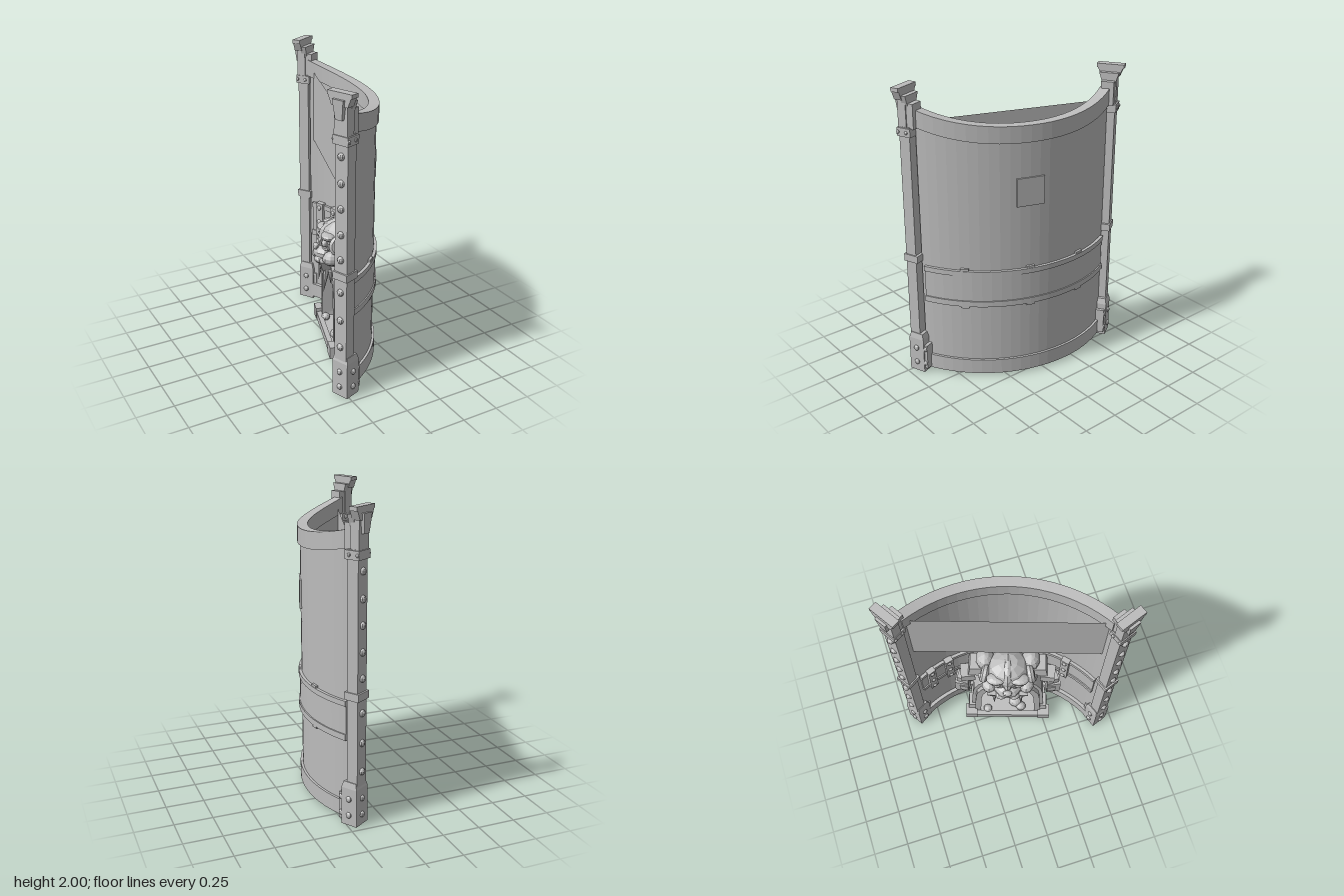
import * as THREE from 'three';

const stone = new THREE.MeshStandardMaterial({ color: 0xbcbcbc, side: THREE.DoubleSide, flatShading: true });
stone.name = 'grey stone';
const RAD = Math.PI / 180;

function add(parent, name, geo, x = 0, y = 0, z = 0, rx = 0, ry = 0, rz = 0) {
  const m = new THREE.Mesh(geo, stone);
  m.name = name;
  m.position.set(x, y, z);
  m.rotation.set(rx, ry, rz);
  parent.add(m);
  return m;
}
// box from its bottom height y0 to top height y1
const box = (p, name, x, y0, y1, z, w, d, ry = 0) =>
  add(p, name, new THREE.BoxGeometry(w, y1 - y0, d), x, (y0 + y1) / 2, z, 0, ry, 0);
// faceted ellipsoid
function blob(p, name, x, y, z, sx, sy, sz, rz = 0) {
  const m = add(p, name, new THREE.SphereGeometry(1, 10, 7), x, y, z, 0, 0, rz);
  m.scale.set(sx, sy, sz);
  return m;
}
// four-sided block, tapering from (w0 x d0) to (w1 x d1)
function taper(p, name, x, y0, y1, z, w0, d0, w1, d1) {
  const g = new THREE.BoxGeometry(1, y1 - y0, 1), a = g.attributes.position;
  for (let i = 0; i < a.count; i++) {
    const top = a.getY(i) > 0;
    a.setX(i, a.getX(i) * (top ? w1 : w0));
    a.setZ(i, a.getZ(i) * (top ? d1 : d0));
  }
  return add(p, name, g, x, (y0 + y1) / 2, z);
}
// group turned to an angle on the arc, its x axis pointing outward
function onArc(parent, name, deg) {
  const b = new THREE.Group();
  b.name = name;
  b.rotation.y = -deg * RAD;
  parent.add(b);
  return b;
}
// curved solid of rectangular section between two radii; heights depend on u = -1..1
function arcShell(r0, r1, bottom, top, halfDeg, seg = 22) {
  const pos = [], idx = [];
  for (let i = 0; i <= seg; i++) {
    const u = (i / seg) * 2 - 1, t = u * halfDeg * RAD, c = Math.cos(t), s = Math.sin(t);
    const b = bottom(u), h = top(u);
    for (const [r, y] of [[r0, b], [r1, b], [r1, h], [r0, h]]) pos.push(r * c, y, r * s);
  }
  for (let i = 0; i < seg; i++) for (let j = 0; j < 4; j++) {
    const a = i * 4 + j, b = i * 4 + (j + 1) % 4;
    idx.push(a, b, b + 4, a, b + 4, a + 4);
  }
  const e = seg * 4;
  idx.push(0, 3, 2, 0, 2, 1, e, e + 1, e + 2, e, e + 2, e + 3);
  const g = new THREE.BufferGeometry();
  g.setAttribute('position', new THREE.Float32BufferAttribute(pos, 3));
  g.setIndex(idx);
  const flat = g.toNonIndexed();
  flat.computeVertexNormals();
  return flat;
}
// arch outline with leaning legs and a rounded head
function archPath(P, half, spring, top) {
  const p = new P(), h = half * 0.93;
  p.moveTo(-half, 0);
  p.lineTo(-h, spring);
  for (let i = 1; i < 10; i++) {
    const a = Math.PI * (1 - i / 10);
    p.lineTo(Math.cos(a) * h, spring + Math.sin(a) * (top - spring));
  }
  p.lineTo(h, spring);
  p.lineTo(half, 0);
  p.closePath();
  return p;
}
function archGeo(outer, inner, depth) {
  const s = archPath(THREE.Shape, ...outer);
  if (inner) s.holes.push(archPath(THREE.Path, ...inner));
  return new THREE.ExtrudeGeometry(s, { depth, bevelEnabled: false });
}

// curved wall with rim, belt and skirting
function buildWall(g) {
  const k = v => () => v;
  const rimTop = u => 1.775 + 0.085 * Math.abs(u) ** 2.3;
  add(g, 'wall', arcShell(0.85, 0.882, k(0.02), u => rimTop(u) - 0.05, 47.2));
  add(g, 'rim', arcShell(0.83, 0.898, u => rimTop(u) - 0.11, rimTop, 47.5));
  add(g, 'skirting', arcShell(0.825, 0.898, k(0.02), k(0.125), 47));
  add(g, 'belt', arcShell(0.838, 0.894, k(0.57), k(0.77), 45.6));
  for (const [a, b] of [[0.54, 0.58], [0.765, 0.80]])
    add(g, 'beltEdge', arcShell(0.83, 0.902, k(a), k(b), 45.6));
  for (const deg of [-40, -30, 29]) {
    const b = onArc(g, 'beltBracket', deg);
    box(b, 'bracketPlate', 0.835, 0.525, 0.815, 0, 0.05, 0.06);
    for (const y of [0.56, 0.67, 0.78]) blob(b, 'rivet', 0.81, y, 0, 0.013, 0.018, 0.018);
  }
  for (const deg of [-25, 0, 28]) {
    const b = onArc(g, 'beltTabs', deg);
    for (const y of [0.525, 0.795]) box(b, 'tab', 0.88, y, y + 0.02, 0, 0.036, 0.055);
  }
  box(g, 'outerPlaque', 0.882, 1.24, 1.43, 0, 0.016, 0.185);
  // flat panel across the arc
  add(g, 'hangingPanel', new THREE.PlaneGeometry(1.295, 0.5), 0.598, 1.53, 0, 0, -Math.PI / 2, 0);
}

// riveted end post; s is the side it stands on
function buildPost(g, s) {
  const p = onArc(g, s > 0 ? 'frontPost' : 'rearPost', s * 51);
  p.position.set(0.88 * Math.cos(51 * RAD), 0, s * 0.88 * Math.sin(51 * RAD));
  box(p, 'shaft', 0.003, 0.2, 1.75, -s * 0.01, 0.095, 0.076);
  box(p, 'foot', 0.003, 0, 0.25, -s * 0.025, 0.122, 0.115);
  taper(p, 'footSlope', 0.003, 0.25, 0.29, -s * 0.025, 0.122, 0.115, 0.105, 0.09);
  box(p, 'footTie', 0.005, 0.03, 0.21, -s * 0.085, 0.1, 0.04);
  box(p, 'midCollar', 0.003, 0.83, 0.88, -s * 0.013, 0.112, 0.105);
  box(p, 'upperCollar', 0.003, 1.69, 1.745, -s * 0.01, 0.115, 0.1);
  box(p, 'head', 0, 1.745, 1.93, s * 0.003, 0.1, 0.06);
  box(p, 'rimTie', 0, 1.74, 1.9, -s * 0.05, 0.085, 0.05);
  taper(p, 'capital', 0, 1.92, 1.975, s * 0.018, 0.12, 0.055, 0.165, 0.055);
  box(p, 'capitalTop', 0, 1.975, 2, s * 0.018, 0.18, 0.055);
  taper(p, 'capitalCrest', 0, 1.84, 1.96, s * 0.04, 0.05, 0.025, 0.08, 0.045);
  taper(p, 'capitalBack', 0, 1.87, 1.95, -s * 0.02, 0.08, 0.04, 0.13, 0.04);
  // rivets
  for (const y of [0.36, 0.55, 0.745, 0.965, 1.13, 1.295, 1.455, 1.62])
    blob(p, 'stud', 0.003, y, s * 0.026, 0.024, 0.024, 0.024);
  for (const y of [0.07, 0.18]) {
    blob(p, 'footStud', 0.003, y, s * 0.033, 0.02, 0.02, 0.016);
    blob(p, 'tieStud', 0.055, y, -s * 0.09, 0.012, 0.018, 0.015);
    for (const x of [-0.06, 0.066]) blob(p, 'footStud', x, y, -s * 0.025, 0.014, 0.02, 0.02);
  }
  for (const z of [-0.03, 0.03]) for (const x of [-0.055, 0.061])
    blob(p, 'collarStud', x, 1.718, z, 0.01, 0.012, 0.012);
}

// hearth, arch and stacked side stones
function buildFireplace(g) {
  const f = new THREE.Group();
  f.name = 'fireplace';
  g.add(f);
  box(f, 'hearthFloor', 0.675, 0.05, 0.06, 0, 0.23, 0.54);
  box(f, 'hearthKerb', 0.565, 0.03, 0.085, 0, 0.035, 0.5);
  for (const s of [-1, 1]) {
    box(f, 'hearthSide', 0.675, 0.03, 0.085, s * 0.265, 0.22, 0.035);
    box(f, 'cornerBlock', 0.585, 0.025, 0.11, s * 0.272, 0.085, 0.085);
    taper(f, 'jambFoot', 0.65, 0.05, 0.17, s * 0.255, 0.13, 0.09, 0.1, 0.07);
  }
  add(f, 'archBody', archGeo([0.275, 0.36, 0.68], [0.215, 0.34, 0.59], 0.18), 0.615, 0.04, 0, 0, Math.PI / 2, 0);
  add(f, 'archTrim', archGeo([0.25, 0.35, 0.635], [0.205, 0.33, 0.575], 0.05), 0.585, 0.04, 0, 0, Math.PI / 2, 0);
  add(f, 'fireback', archGeo([0.22, 0.35, 0.62], null, 0.01), 0.795, 0.04, 0, 0, Math.PI / 2, 0);
  for (const s of [-1, 1]) {
    box(f, 'insetStone', 0.70, 0.37, 0.52, s * 0.325, 0.11, 0.1, s * 0.15);
    box(f, 'insetFace', 0.641, 0.41, 0.48, s * 0.317, 0.01, 0.06, s * 0.15);
    box(f, 'sideStone', 0.70, 0.53, 0.6, s * 0.31, 0.1, 0.085, s * 0.3);
    box(f, 'sideStone', 0.69, 0.6, 0.69, s * 0.285, 0.1, 0.1, -s * 0.1);
    taper(f, 'shoulderStone', 0.72, 0.69, 0.79, s * 0.215, 0.14, 0.13, 0.12, 0.1);
    blob(f, 'templeStone', 0.73, 0.82, s * 0.16, 0.08, 0.075, 0.065);
  }
  // stones on the hearth
  for (const [x, y, z, r] of [[0.66, 0.1, 0.06, 0.045], [0.62, 0.09, 0.1, 0.032], [0.6, 0.085, -0.15, 0.028]])
    blob(f, 'hearthStone', x, y, z, r * 1.1, r, r * 1.2);
}

// beast head above the arch, facing inward (-x)
function buildHead(g) {
  const h = new THREE.Group();
  h.name = 'beastHead';
  h.position.y = -0.08;
  g.add(h);
  blob(h, 'cranium', 0.67, 0.87, 0, 0.145, 0.13, 0.155);
  blob(h, 'crownRidge', 0.65, 0.9, 0, 0.13, 0.105, 0.05, 0.3);
  box(h, 'neckBlock', 0.725, 0.66, 0.9, 0, 0.16, 0.28);
  blob(h, 'muzzle', 0.57, 0.77, 0, 0.085, 0.06, 0.1);
  blob(h, 'noseBridge', 0.57, 0.85, 0, 0.05, 0.065, 0.035, -0.4);
  blob(h, 'nose', 0.505, 0.81, 0, 0.022, 0.022, 0.035);
  taper(h, 'upperJaw', 0.58, 0.67, 0.75, 0, 0.1, 0.22, 0.14, 0.29);
  for (const s of [-1, 1]) {
    blob(h, 'eye', 0.555, 0.86, s * 0.075, 0.025, 0.026, 0.03);
    add(h, 'eyeSocket', new THREE.TorusGeometry(0.042, 0.014, 6, 12), 0.56, 0.86, s * 0.077, 0, Math.PI / 2 + s * 0.35, 0);
    blob(h, 'brow', 0.575, 0.912, s * 0.08, 0.05, 0.025, 0.07);
    blob(h, 'cheek', 0.59, 0.77, s * 0.13, 0.065, 0.05, 0.055);
    blob(h, 'lip', 0.525, 0.735, s * 0.045, 0.04, 0.03, 0.045);
    // curled horn
    const pts = [];
    for (let i = 0; i <= 9; i++) {
      const a = i / 9 * 5, r = 0.058 - i * 0.003;
      pts.push(new THREE.Vector3(0.63 + Math.cos(a) * r, 0.87 + Math.sin(a) * r, s * (0.14 + i * 0.005)));
    }
    add(h, 'curledHorn', new THREE.TubeGeometry(new THREE.CatmullRomCurve3(pts), 18, 0.027, 7));
    blob(h, 'hornCore', 0.63, 0.87, s * 0.155, 0.042, 0.042, 0.035);
    // fangs and small teeth
    add(h, 'fang', new THREE.ConeGeometry(0.024, 0.18, 7), 0.55, 0.59, s * 0.095, Math.PI, 0, 0.12);
    add(h, 'tooth', new THREE.ConeGeometry(0.014, 0.06, 6), 0.53, 0.67, s * 0.035, Math.PI, 0, 0);
    add(h, 'sideTooth', new THREE.ConeGeometry(0.018, 0.1, 6), 0.58, 0.63, s * 0.135, Math.PI, 0, 0);
  }
}

export function createModel() {
  const model = new THREE.Group();
  model.name = 'curvedWallWithFireplace';
  // the arc is mirrored about its own axis, then turned into place
  const g = new THREE.Group();
  g.name = 'wallSection';
  g.position.set(-0.57, 0, -0.18);
  g.rotation.y = -18.4 * RAD;
  model.add(g);
  buildWall(g);
  for (const s of [-1, 1]) buildPost(g, s);
  buildFireplace(g);
  buildHead(g);
  return model;
}
